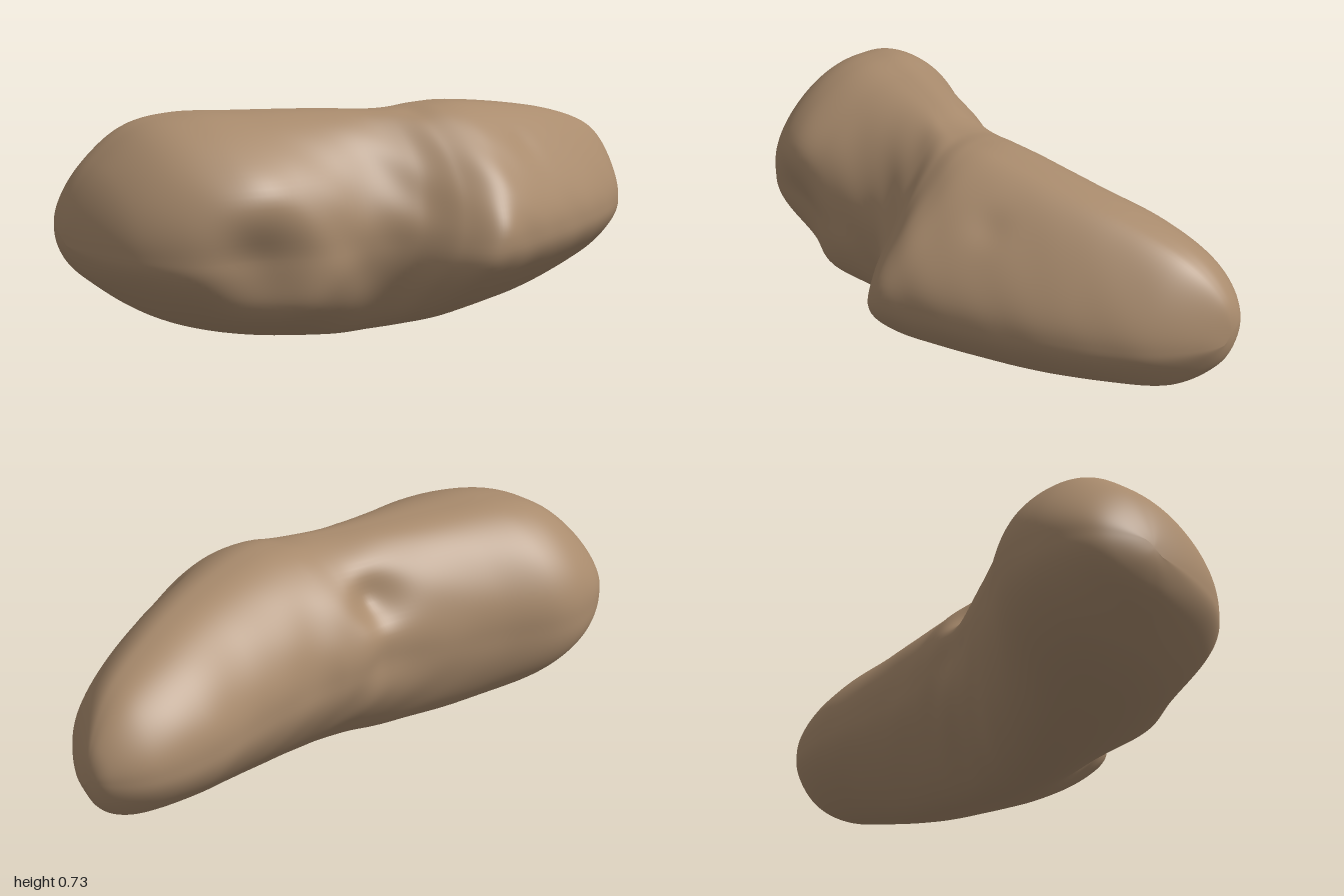
import * as THREE from 'three';
import { mergeVertices } from 'three/addons/utils/BufferGeometryUtils.js';

// Cross-sections along the rock: x, bottom y, top y, back z, front z, z of the crest, z of the keel
const SECTIONS = [
  [-1.0, 0.36, 0.36, -0.25, -0.25, -0.25, -0.25],
  [-0.97, 0.27, 0.48, -0.38, -0.08, -0.24, -0.23],
  [-0.9, 0.20, 0.59, -0.46, 0.08, -0.22, -0.2],
  [-0.78, 0.115, 0.69, -0.51, 0.21, -0.2, -0.18],
  [-0.64, 0.06, 0.725, -0.505, 0.28, -0.16, -0.14],
  [-0.45, 0.02, 0.725, -0.41, 0.305, -0.1, -0.1],
  [-0.22, 0.003, 0.722, -0.31, 0.28, -0.02, -0.02],
  [-0.08, 0.008, 0.717, -0.275, 0.33, 0.05, 0.02],
  [0.01, 0.014, 0.72, -0.265, 0.435, 0.08, 0.03],
  [0.1, 0.02, 0.73, -0.25, 0.51, 0.09, 0.03],
  [0.22, 0.032, 0.73, -0.235, 0.485, 0.09, 0.03],
  [0.45, 0.062, 0.70, -0.24, 0.39, 0.06, 0.02],
  [0.67, 0.11, 0.655, -0.262, 0.285, 0.01, 0.0],
  [0.86, 0.165, 0.585, -0.235, 0.155, -0.04, -0.03],
  [0.97, 0.26, 0.48, -0.165, 0.01, -0.08, -0.08],
  [1.0, 0.37, 0.37, -0.09, -0.09, -0.09, -0.09],
];

// Dents and swellings: centre, radius, push vector
const DENTS = [
  [-0.58, 0.31, 0.27, 0.15, [0.01, 0, -0.075]],
  [-0.58, 0.52, 0.22, 0.14, [0, 0, 0.035]],
  [-0.44, 0.16, 0.20, 0.13, [0, 0, 0.03]],
  [-0.08, 0.57, -0.20, 0.08, [0, -0.02, 0.05]],
  [-0.04, 0.38, -0.26, 0.09, [0, 0, 0.012]],
  [-0.13, 0.22, 0.28, 0.13, [0, 0.01, -0.02]],
  [0.36, 0.60, 0.27, 0.06, [0, -0.006, -0.006]],
  [0.04, 0.70, 0.12, 0.05, [0, -0.006, 0]],
];

// Smooth interpolation through the sections; mirrored ghost rows round both tips
function sectionAt(t) {
  const last = SECTIONS.length - 1;
  const flip = (r) => [r[0], r[2], r[1], r[4], r[3], r[5], r[6]];
  const row = (i) => (i < 0 ? flip(SECTIONS[1]) : i > last ? flip(SECTIONS[last - 1]) : SECTIONS[i]);
  const i = Math.min(Math.floor(t), last - 1);
  const f = t - i;
  const [a, b, c, d] = [row(i - 1), row(i), row(i + 1), row(i + 2)];
  return b.map((v, k) => v + 0.5 * f * (c[k] - a[k]
    + f * (2 * a[k] - 5 * v + 4 * c[k] - d[k] + f * (3 * (v - c[k]) + d[k] - a[k]))));
}

// Absolute value with a rounded corner, so the section has no crease
const soft = (a) => (Math.sqrt(a * a + 0.03) - 0.1732) / 0.8417;

// Point on one section, with a separate roundness for each quadrant
function sectionPoint(t, angle) {
  const [x, y0, y1, z0, z1, crest, keel] = sectionAt(t);
  const c = Math.cos(angle), s = Math.sin(angle);
  const right = THREE.MathUtils.smoothstep(x, -0.25, 0.1);
  const front = 1.6 - 0.26 * right;
  const back = s > 0 ? 1.63 : 1.73 - 0.3 * right;
  const power = THREE.MathUtils.lerp(back, front, THREE.MathUtils.smoothstep(c, -0.15, 0.15));
  const r = Math.pow(Math.pow(soft(c), power) + Math.pow(soft(s), power), -1 / power);
  const u = c * r, v = s * r;
  const waist = Math.min(Math.max(0.358 - 0.018 * c, y0), y1);
  // the middle leans towards the crest above and the keel below
  const mid = THREE.MathUtils.lerp((crest + keel) / 2, s > 0 ? crest : keel, Math.abs(v));
  const y = waist + v * (v > 0 ? y1 - waist : waist - y0);
  // the front nose slants sideways as it rises
  const slant = 0.28 * (y - 0.35) * Math.max(u, 0) * Math.exp(-Math.pow((x - 0.05) / 0.3, 2));
  return new THREE.Vector3(x + slant, y, mid + u * (u > 0 ? z1 - mid : mid - z0));
}

function weather(p) {
  const start = p.clone();
  for (const [x, y, z, radius, push] of DENTS) {
    const d = start.distanceTo(new THREE.Vector3(x, y, z)) / radius;
    p.addScaledVector(new THREE.Vector3(...push), Math.exp(-d * d));
  }
  // faint uneven surface, strongest around the waist
  const amount = 0.001 + 0.003 * Math.exp(-Math.pow((start.x + 0.05) / 0.25, 2));
  const n = Math.sin(17 * start.x + 9 * start.y) * Math.sin(15 * start.z - 11 * start.y + 1)
    + 0.6 * Math.sin(31 * start.x - 13 * start.z) * Math.sin(27 * start.y + 8 * start.x);
  p.z += amount * n * Math.tanh(8 * start.z);
  return p;
}

function rockGeometry(rows = 150, around = 112) {
  const positions = [], index = [];
  for (let i = 0; i <= rows; i++) {
    for (let j = 0; j < around; j++) {
      const p = sectionPoint((i / rows) * (SECTIONS.length - 1), (j / around) * Math.PI * 2);
      positions.push(...weather(p).toArray());
    }
  }
  // the first and last rings are single points, so their quads need only one triangle
  for (let i = 0; i < rows; i++) {
    for (let j = 0; j < around; j++) {
      const k = (j + 1) % around;
      const a = i * around + j, b = a + around, c = (i + 1) * around + k, d = i * around + k;
      if (i < rows - 1) index.push(b, c, d);
      if (i > 0) index.push(a, b, d);
    }
  }
  const g = new THREE.BufferGeometry();
  g.setAttribute('position', new THREE.Float32BufferAttribute(positions, 3));
  g.setIndex(index);
  const merged = mergeVertices(g, 1e-5);
  merged.computeVertexNormals();
  return merged;
}

export function createModel() {
  const group = new THREE.Group();
  group.name = 'asteroid';
  const stone = new THREE.MeshStandardMaterial({ color: 0xa98b6d });
  stone.name = 'tan stone';
  const rock = new THREE.Mesh(rockGeometry(), stone);
  rock.name = 'rockBody';
  group.add(rock);
  return group;
}
